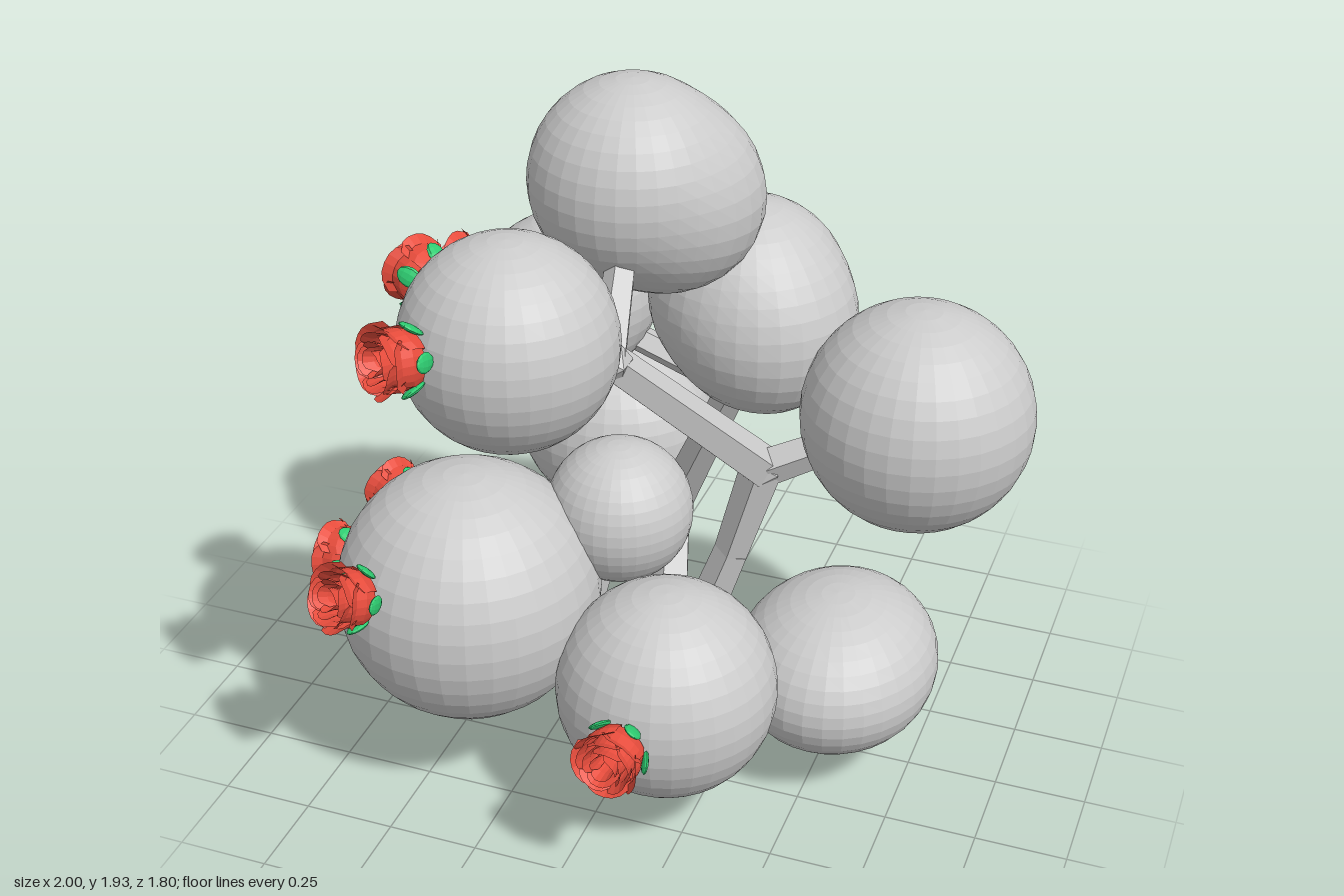
import * as THREE from 'three';

const grey = new THREE.MeshStandardMaterial({ color: 0xcccccc, flatShading: true });
const red = new THREE.MeshStandardMaterial({ color: 0xe74c3c, flatShading: true, side: THREE.DoubleSide });
const green = new THREE.MeshStandardMaterial({ color: 0x2ecc71, flatShading: true });
const V = (p) => new THREE.Vector3(...p);
const UP = new THREE.Vector3(0, 1, 0);

function addMesh(parent, name, geometry, material) {
  const mesh = new THREE.Mesh(geometry, material);
  mesh.name = name;
  parent.add(mesh);
  return mesh;
}

// Foliage clumps: centre, radius, optional scale, optional bulge direction and amount
const clumps = {
  crown: { c: [-0.08, 1.65, -0.03], r: 0.275, dir: [0.26, -0.22, -0.22], k: 0.36 },
  upperFront: { c: [-0.19, 1.44, 0.54], r: 0.275 },
  upperRight: { c: [-0.39, 1.13, -0.27], r: 0.245, dir: [0.7, 0.5, -0.4], k: 0.2 },
  upperBack: { c: [0.16, 1.24, -0.28], r: 0.275, dir: [0.5, -0.5, 0.3], k: 0.25 },
  upperLeft: { c: [0.69, 1.065, -0.09], r: 0.31 },
  inner: { c: [-0.06, 0.75, 0.14], r: 0.2 },
  bigFront: { c: [-0.4, 0.575, 0.39], r: 0.357 },
  lowerFront: { c: [0.18, 0.42, 0.43], r: 0.295 },
  lowerLeft: { c: [0.53, 0.31, 0.025], r: 0.3, s: [0.93, 0.73, 1.05], dir: [0.3, 0.8, -0.5], k: 0.06 },
  lowerRight: { c: [-0.6, 0.325, -0.06], r: 0.285, dir: [0.1, 0, -0.9], k: 0.06 },
  lowerBack: { c: [-0.36, 0.55, -0.62], r: 0.275, s: [1.08, 1, 1] },
};

function clumpGeometry({ r, s = [1, 1, 1], dir = [0, 1, 0], k = 0 }) {
  const g = new THREE.SphereGeometry(r, 32, 20);
  const d = V(dir).normalize();
  const pos = g.attributes.position;
  const p = new THREE.Vector3();
  for (let i = 0; i < pos.count; i++) {
    p.fromBufferAttribute(pos, i);
    const c = Math.max(0, p.dot(d) / r);
    p.multiplyScalar(1 + k * c * c);
    pos.setXYZ(i, p.x, p.y, p.z);
  }
  g.scale(...s);
  g.computeVertexNormals();
  return g;
}

// Branch joints, and limbs given as start, end and the two end radii
const root = [0.03, 0.045, 0.02];
const fork = [0.3, 0.88, 0.01];
const highFork = [0.0, 1.33, 0.36];
const backElbow = [-0.13, 0.38, -0.49];
const backFork = [0.11, 0.92, -0.32];
const lowFork = [-0.17, 0.33, 0.17];
const limbs = [
  [root, [0.22, 0.6, 0.01], 0.065, 0.05],
  [[0.22, 0.6, 0.01], fork, 0.05, 0.06],
  [fork, highFork, 0.06, 0.05],
  [fork, clumps.upperLeft.c, 0.055, 0.04],
  [highFork, clumps.upperFront.c, 0.05, 0.04],
  [highFork, clumps.crown.c, 0.05, 0.035],
  [root, backElbow, 0.065, 0.06],
  [backElbow, clumps.lowerBack.c, 0.055, 0.04],
  [backElbow, backFork, 0.06, 0.045],
  [backFork, clumps.upperBack.c, 0.045, 0.04],
  [backFork, clumps.upperRight.c, 0.045, 0.035],
  [root, lowFork, 0.06, 0.05],
  [lowFork, clumps.bigFront.c, 0.05, 0.04],
  [lowFork, clumps.inner.c, 0.045, 0.035],
  [root, [-0.38, 0.15, -0.06], 0.05, 0.045],
  [[-0.38, 0.15, -0.06], clumps.lowerRight.c, 0.045, 0.04],
  [root, clumps.lowerFront.c, 0.06, 0.045],
  [root, [0.42, 0.16, 0.02], 0.045, 0.04],
];

function addLimb(parent, [from, to, r0, r1]) {
  const a = V(from), b = V(to);
  const d = b.clone().sub(a);
  const limb = addMesh(parent, 'branch', new THREE.CylinderGeometry(r1, r0, d.length(), 5), grey);
  limb.position.copy(a).addScaledVector(d, 0.5);
  limb.quaternion.setFromUnitVectors(UP, d.normalize());
}

// One cupped petal with a rolled lip, lower at its side edges
function petalGeometry(radius, height, width) {
  const profile = [[0.25, 0], [0.75, 0.1], [0.86, 0.45], [0.84, 0.75], [1, 1]]
    .map(([r, y]) => new THREE.Vector2(r * radius, y * height));
  const g = new THREE.LatheGeometry(profile, 6, -width / 2, width);
  const pos = g.attributes.position;
  for (let i = 0; i < pos.count; i++) {
    const t = Math.atan2(pos.getX(i), pos.getZ(i)) / (width / 2);
    pos.setY(i, pos.getY(i) * (1 - 0.28 * t ** 4));
  }
  g.computeVertexNormals();
  return g;
}

// Rose opening along +y: rings of petals over a whorl of sepals
function makeRose() {
  const rose = new THREE.Group();
  rose.name = 'rose';
  [[0.092, 0.105, 5], [0.073, 0.115, 5], [0.053, 0.12, 4], [0.034, 0.12, 3]].forEach(([r, h, n], ring) => {
    for (let i = 0; i < n; i++) {
      const petal = addMesh(rose, 'petal', petalGeometry(r, h, (2 * Math.PI / n) * 1.25), red);
      petal.rotation.set(0, (i / n) * 2 * Math.PI + ring * 0.7, 0.05);
    }
  });
  for (let i = 0; i < 5; i++) {
    const g = new THREE.SphereGeometry(1, 10, 6);
    g.scale(0.026, 0.036, 0.009).rotateX(0.45).translate(0, 0.018, 0.078).rotateY(i * 2 * Math.PI / 5);
    addMesh(rose, 'sepal', g, green);
  }
  return rose;
}

// Rose centres with the clump each one grows from
const roses = [
  ['upperFront', [-0.365, 1.5, 0.82]],
  ['upperFront', [-0.5, 1.49, 0.37]],
  ['upperRight', [-0.69, 1.18, -0.28]],
  ['bigFront', [-0.58, 0.735, 0.76]],
  ['bigFront', [-0.805, 0.555, 0.34]],
  ['lowerRight', [-0.92, 0.41, -0.22]],
  ['lowerFront', [0.155, 0.43, 0.775]],
];

export function createModel() {
  const model = new THREE.Group();
  model.name = 'roseBush';

  const foliage = new THREE.Group();
  foliage.name = 'foliage';
  for (const [name, clump] of Object.entries(clumps)) {
    addMesh(foliage, name + 'Clump', clumpGeometry(clump), grey).position.set(...clump.c);
  }

  const branches = new THREE.Group();
  branches.name = 'branches';
  limbs.forEach((limb) => addLimb(branches, limb));
  // Knots cover the joints
  for (const p of [fork, highFork, backElbow, backFork, lowFork]) {
    addMesh(branches, 'knot', new THREE.IcosahedronGeometry(0.062, 0), grey).position.set(...p);
  }
  addMesh(branches, 'rootCollar', new THREE.CylinderGeometry(0.075, 0.07, 0.09, 6), grey).position.set(...root);

  const blooms = new THREE.Group();
  blooms.name = 'roses';
  for (const [name, centre] of roses) {
    const rose = makeRose();
    const d = V(centre).sub(V(clumps[name].c)).normalize();
    rose.position.copy(V(centre)).addScaledVector(d, -0.06);
    rose.quaternion.setFromUnitVectors(UP, d);
    blooms.add(rose);
  }

  model.add(foliage, branches, blooms);
  return model;
}
